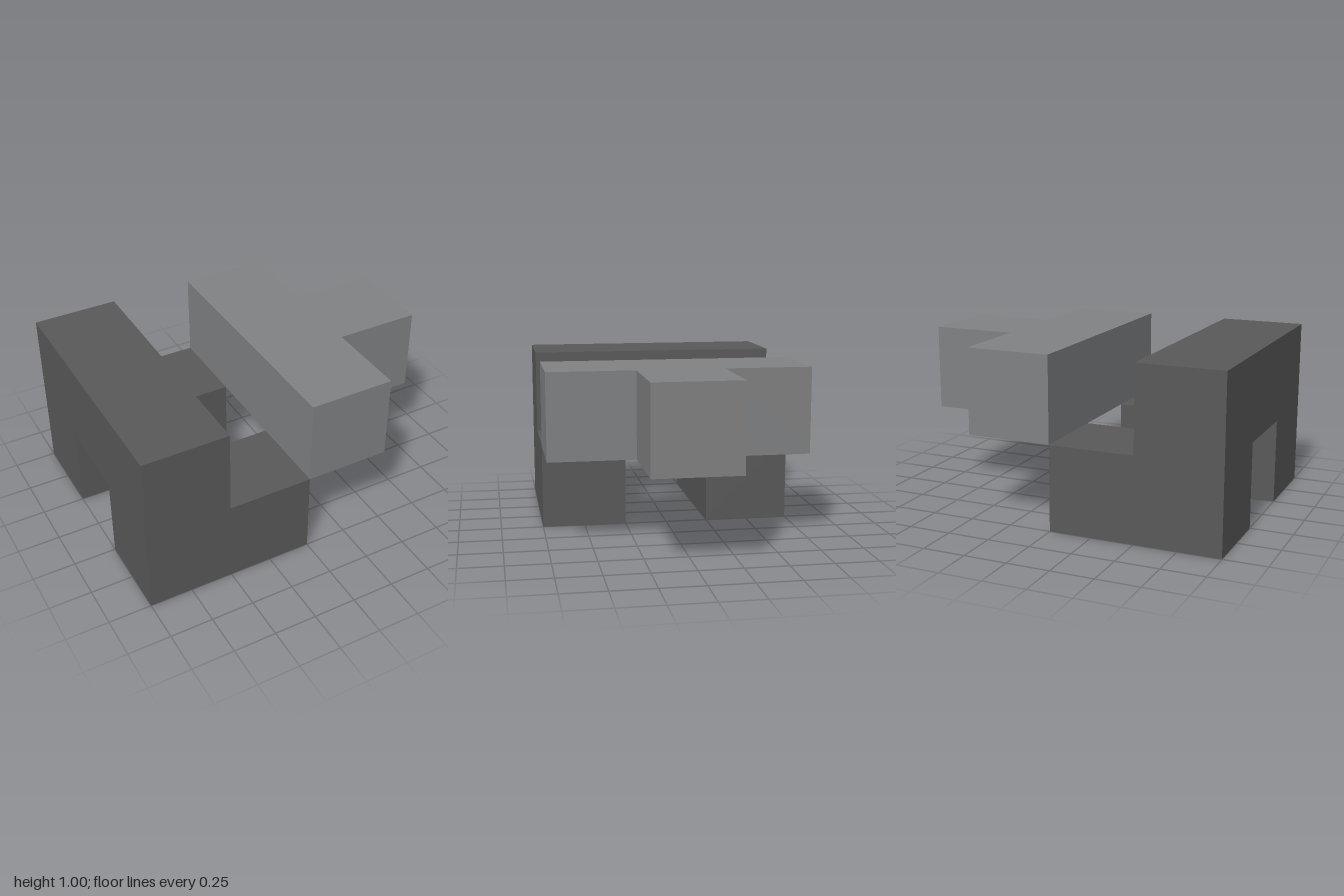
import * as THREE from 'three';

const U = 0.5; // edge of one cube unit

// Straight-sided prism from an outline given in cube units, one unit deep
function prism(points) {
  const shape = new THREE.Shape(points.map(([a, b]) => new THREE.Vector2(a * U, b * U)));
  return new THREE.ExtrudeGeometry(shape, { depth: U, bevelEnabled: false });
}

export function createModel() {
  const darkGrey = new THREE.MeshStandardMaterial({ color: 0x595959 });
  darkGrey.name = 'dark grey';
  const lightGrey = new THREE.MeshStandardMaterial({ color: 0x808182 });
  lightGrey.name = 'light grey';

  const model = new THREE.Group();
  model.name = 'interlockingBlocks';

  const add = (parent, name, geometry, material, x, y, z) => {
    const mesh = new THREE.Mesh(geometry, material);
    mesh.name = name;
    mesh.position.set(x, y, z);
    parent.add(mesh);
  };

  // Dark piece: an upright arch with a foot reaching out from each leg
  const archPiece = new THREE.Group();
  archPiece.name = 'archPiece';
  const arch = prism([
    [-1.5, 0], [-0.5, 0], [-0.5, 1], [0.5, 1], [0.5, 0], [1.5, 0], [1.5, 2], [-1.5, 2],
  ]).rotateY(Math.PI / 2);
  add(archPiece, 'arch', arch, darkGrey, -1, 0, 0);
  const foot = new THREE.BoxGeometry(U, U, U);
  for (const [name, side] of [['frontFoot', 1], ['backFoot', -1]]) {
    add(archPiece, name, foot, darkGrey, -U / 2, U / 2, side * U);
  }
  model.add(archPiece);

  // Light piece: a flat T resting on the edges of the feet
  const tee = prism([
    [0, -1.5], [1, -1.5], [1, -0.5], [2, -0.5], [2, 0.5], [1, 0.5], [1, 1.5], [0, 1.5],
  ]).rotateX(-Math.PI / 2);
  add(model, 'teePiece', tee, lightGrey, 0, U, 0);

  return model;
}
